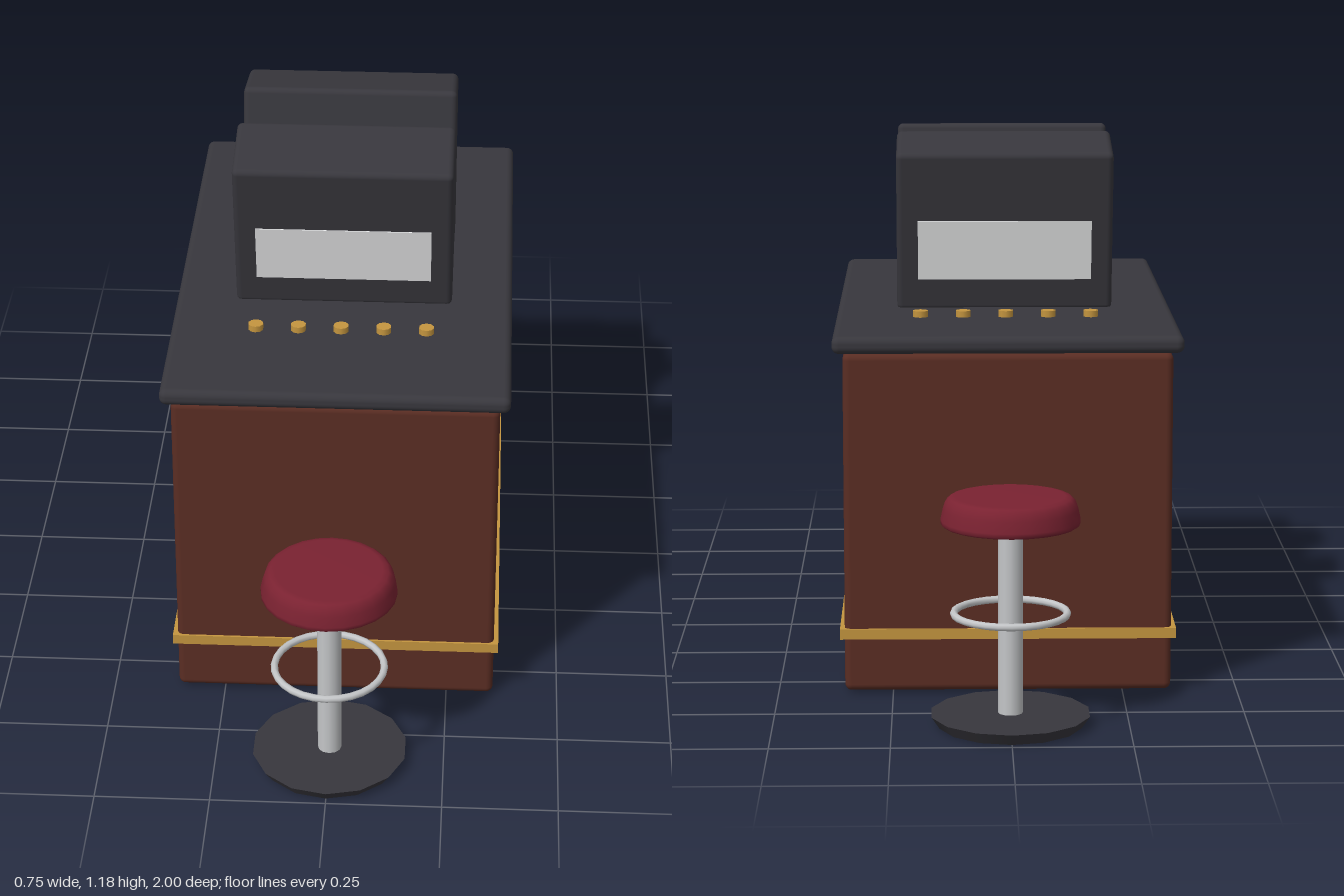
import * as THREE from 'three';
import { RoundedBoxGeometry } from 'three/addons/geometries/RoundedBoxGeometry.js';

const material = (name, color) => {
  const m = new THREE.MeshStandardMaterial({ color });
  m.name = name;
  return m;
};

export function createModel() {
  const wood = material('brown wood', 0x5a2d23);
  const dark = material('charcoal', 0x38373d);
  const gold = material('gold', 0xc4953f);
  const red = material('red leather', 0x7a2231);
  const steel = material('steel', 0xc4c6c8);
  const white = material('screen white', 0xeeeff0);

  const model = new THREE.Group();
  model.name = 'doubleSidedCounter';

  const add = (parent, name, geometry, mat, x = 0, y = 0, z = 0) => {
    const mesh = new THREE.Mesh(geometry, mat);
    mesh.name = name;
    mesh.position.set(x, y, z);
    parent.add(mesh);
    return mesh;
  };

  // Cabinet with its worktop and gold trim band
  add(model, 'cabinet', new RoundedBoxGeometry(0.71, 0.745, 1.19, 3, 0.015), wood, 0, 0.3775, 0);
  add(model, 'worktop', new RoundedBoxGeometry(0.755, 0.038, 1.225, 3, 0.016), dark, 0, 0.77, 0);
  add(model, 'trimBand', new THREE.BoxGeometry(0.73, 0.023, 1.2), gold, 0, 0.134, 0);

  // Padded seat profile, from the underside centre to the top centre
  const seatProfile = [
    [0, 0.43], [0.141, 0.43], [0.146, 0.434], [0.146, 0.442], [0.141, 0.465],
    [0.136, 0.48], [0.127, 0.488], [0.115, 0.491], [0, 0.491],
  ].map(([r, y]) => new THREE.Vector2(r, y));

  // One side: screen housing, buttons and stool
  function makeStation(name) {
    const station = new THREE.Group();
    station.name = name;

    // Housing leaning out towards the stool
    const housing = new THREE.Group();
    housing.name = 'screenHousing';
    housing.position.set(0, 0.981, 0.141);
    housing.rotation.x = 0.195;
    add(housing, 'housingShell', new RoundedBoxGeometry(0.485, 0.37, 0.186, 3, 0.013), dark);
    add(housing, 'screen', new THREE.BoxGeometry(0.39, 0.138, 0.006), white, 0, -0.041, 0.092);
    station.add(housing);

    // Row of buttons
    for (let i = -2; i <= 2; i++) {
      add(station, 'button', new THREE.CylinderGeometry(0.017, 0.017, 0.02, 10), gold, i * 0.0945, 0.793, 0.33);
    }

    // Stool
    const stool = new THREE.Group();
    stool.name = 'stool';
    stool.position.z = 0.83;
    const base = new THREE.CylinderGeometry(0.17, 0.153, 0.025, 14);
    add(stool, 'stoolBase', base, dark, 0, 0.0125, 0);
    add(stool, 'stoolPost', new THREE.CylinderGeometry(0.026, 0.026, 0.42, 12), steel, 0, 0.225, 0);
    const ring = add(stool, 'footRing', new THREE.TorusGeometry(0.119, 0.008, 8, 28), steel, 0, 0.24, 0);
    ring.rotation.x = Math.PI / 2;
    add(stool, 'stoolSeat', new THREE.LatheGeometry(seatProfile, 24), red);
    station.add(stool);
    return station;
  }

  const front = makeStation('frontStation');
  const back = makeStation('backStation');
  back.rotation.y = Math.PI;
  model.add(front, back);
  return model;
}
